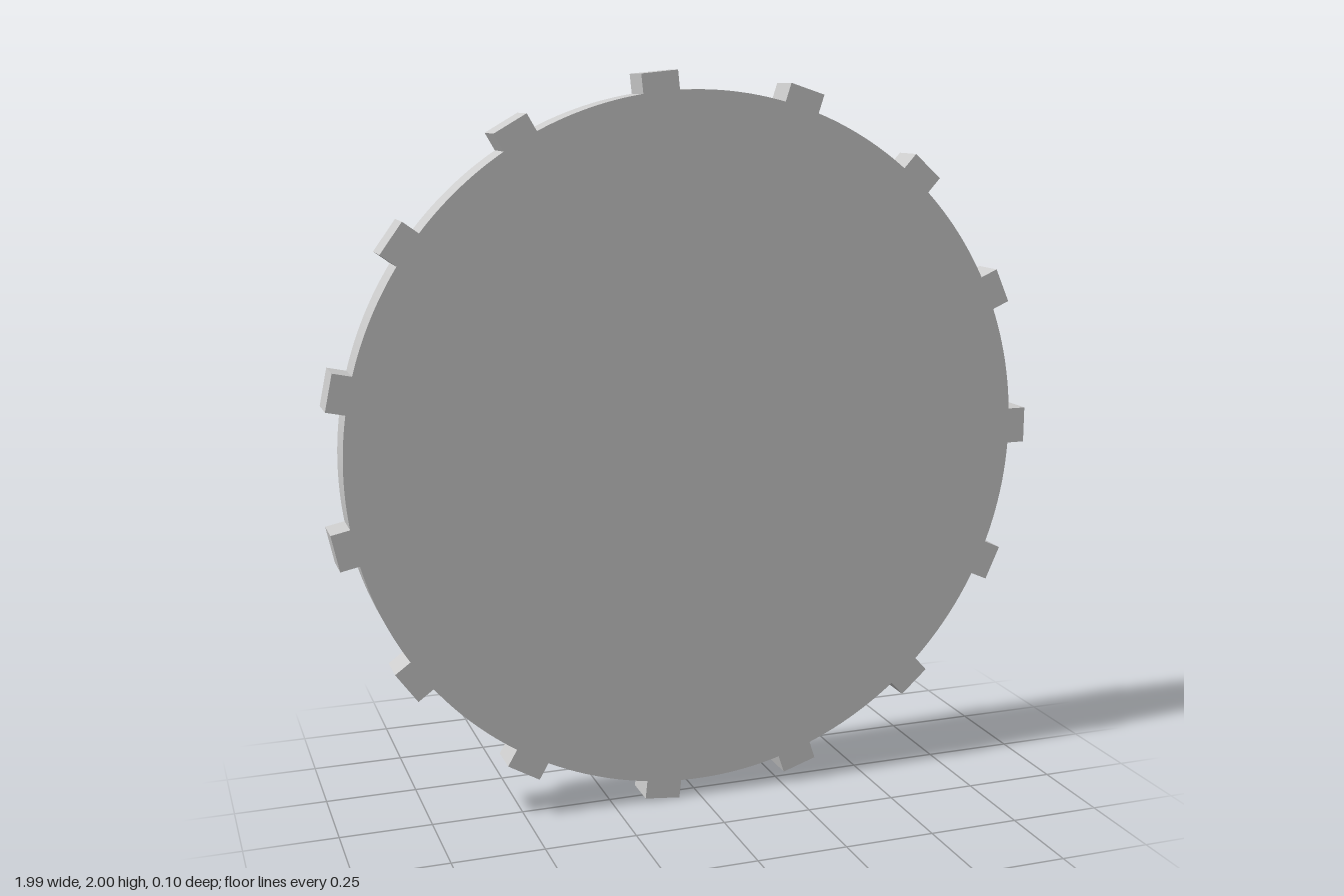
import * as THREE from 'three';
import { toCreasedNormals } from 'three/addons/utils/BufferGeometryUtils.js';

const TEETH = 15;
const ROOT = 0.95;        // disc radius
const TIP = 1.0;          // distance from the centre to the flat tooth ends
const HALF_WIDTH = 0.05;  // half the width of a tooth
const THICKNESS = 0.1;

// Outline: square teeth joined by arcs of the disc's rim
function gearOutline() {
  const shape = new THREE.Shape();
  const step = (Math.PI * 2) / TEETH;
  const half = Math.asin(HALF_WIDTH / ROOT);
  const foot = Math.sqrt(ROOT ** 2 - HALF_WIDTH ** 2);
  for (let i = 0; i < TEETH; i++) {
    const a = i * step;
    const corner = (r, t) => [
      r * Math.cos(a) - t * Math.sin(a),
      r * Math.sin(a) + t * Math.cos(a),
    ];
    if (i === 0) shape.moveTo(...corner(foot, -HALF_WIDTH));
    shape.lineTo(...corner(TIP, -HALF_WIDTH));
    shape.lineTo(...corner(TIP, HALF_WIDTH));
    shape.lineTo(...corner(foot, HALF_WIDTH));
    shape.absarc(0, 0, ROOT, a + half, a + step - half, false);
  }
  return shape;
}

export function createModel() {
  const group = new THREE.Group();
  group.name = 'gearWheel';

  // Solid toothed disc, smooth along the rim and sharp at the teeth
  const extruded = new THREE.ExtrudeGeometry(gearOutline(), {
    depth: THICKNESS,
    bevelEnabled: false,
    curveSegments: 12,
  });
  extruded.translate(0, 0, -THICKNESS / 2);
  const disc = new THREE.Mesh(
    toCreasedNormals(extruded, Math.PI / 6),
    new THREE.MeshStandardMaterial({ color: 0xcccccc })
  );
  disc.name = 'toothedDisc';
  // The odd tooth count puts the wheel's axis slightly off the middle of its width
  disc.position.set(-0.0055, 1, 0);
  group.add(disc);

  return group;
}
